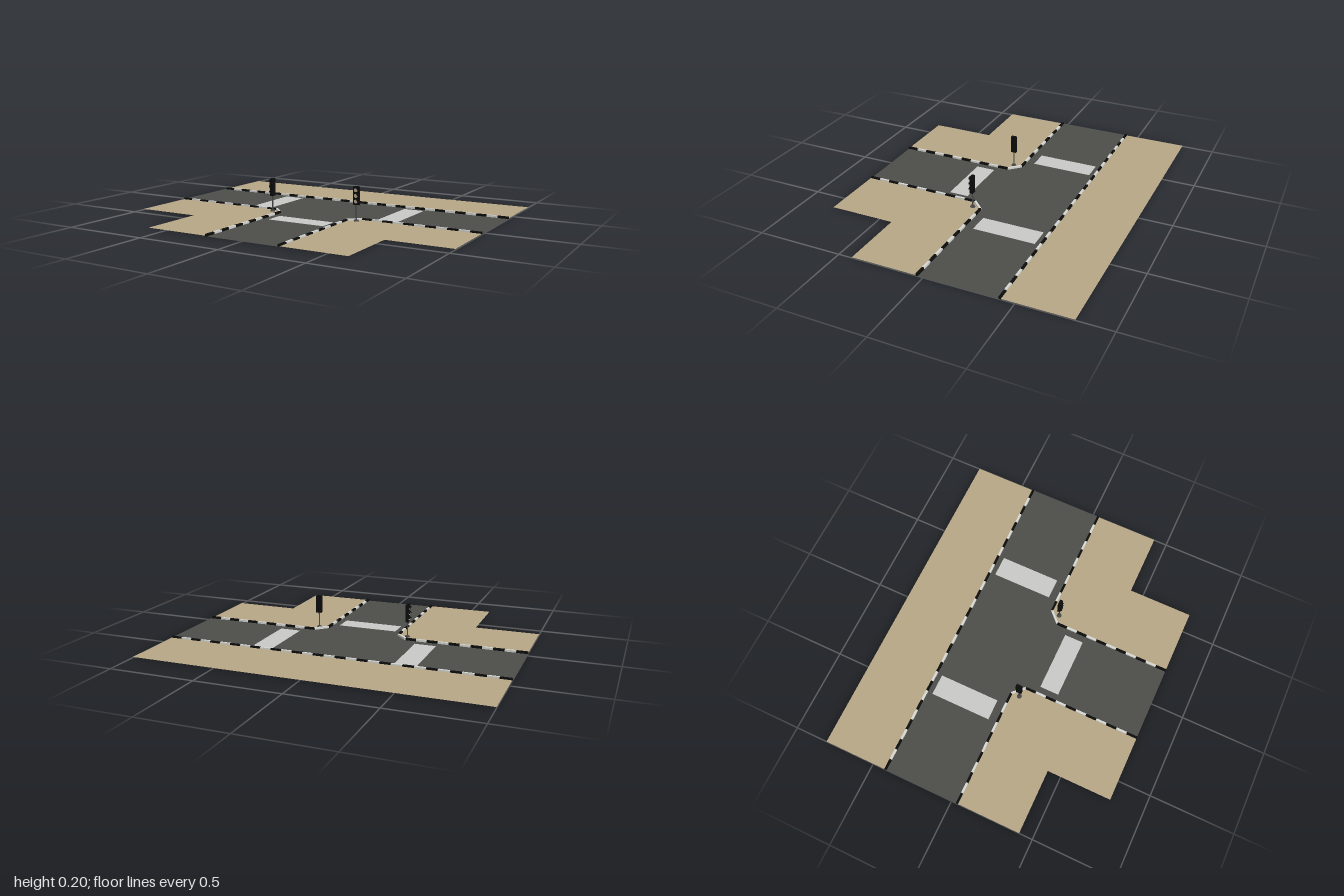
import * as THREE from 'three';

const mat = (name, color, side = THREE.FrontSide) => {
  const m = new THREE.MeshStandardMaterial({ color, side });
  m.name = name;
  return m;
};

export function createModel() {
  const root = new THREE.Group();
  const asphalt = mat('asphalt', 0x4d4d49, THREE.DoubleSide);
  const sand = mat('sand', 0xb8a786, THREE.DoubleSide);
  const paint = mat('crossing paint', 0xcacac8);
  const black = mat('black', 0x0b0c0b, THREE.DoubleSide);
  const white = mat('kerb white', 0xd8d8d4);
  const steel = mat('pole grey', 0x4a4a4a);
  const lens = mat('lens', 0xb5a58c);

  const add = (parent, name, geo, material, x = 0, y = 0, z = 0) => {
    const m = new THREE.Mesh(geo, material);
    m.name = name;
    m.position.set(x, y, z);
    parent.add(m);
    return m;
  };

  // Flat ground sheet from [x, z] corners
  const sheet = (name, pts, material, y) => {
    const shape = new THREE.Shape(pts.map(([x, z]) => new THREE.Vector2(x, -z)));
    add(root, name, new THREE.ShapeGeometry(shape).rotateX(-Math.PI / 2), material, 0, y, 0);
  };

  const backZ = -0.42, frontZ = 0.035, stemX = 0.225, cutX = 0.29, cutZ = 0.1, end = 0.805;

  // T-shaped road
  sheet('road', [
    [-1, backZ], [1, backZ], [1, frontZ], [cutX, frontZ], [stemX, cutZ], [stemX, end],
    [-stemX, end], [-stemX, cutZ], [-cutX, frontZ], [-1, frontZ],
  ], asphalt, 0.001);

  // Pavements
  sheet('backPavement', [[-1, -end], [1, -end], [1, backZ], [-1, backZ]], sand, 0.004);
  for (const s of [-1, 1]) {
    sheet(s < 0 ? 'rightPavement' : 'leftPavement', [
      [cutX, frontZ], [1, frontZ], [1, 0.42], [0.617, 0.42], [0.617, end],
      [stemX, end], [stemX, cutZ],
    ].map(([x, z]) => [x * s, z]), sand, 0.004);
  }

  // Crossings, visible on both faces of the road sheet
  const crossing = (x, z, w, d) =>
    add(root, 'crossing', new THREE.BoxGeometry(w, 0.002, d), paint, x, 0.001, z);
  crossing(-0.425, -0.202, 0.125, 0.365);
  crossing(0.425, -0.202, 0.125, 0.365);
  crossing(0, 0.23, 0.36, 0.115);

  // Kerb run of alternating black and white blocks
  const kerb = (x0, z0, x1, z1, n, first = black) => {
    const g = new THREE.Group();
    g.name = 'kerb';
    root.add(g);
    const len = Math.hypot(x1 - x0, z1 - z0) / n;
    for (let i = 0; i < n; i++) {
      const t = (i + 0.5) / n;
      const isFirst = i % 2 === 0;
      const b = add(g, isFirst ? 'kerbBlockA' : 'kerbBlockB',
        new THREE.BoxGeometry(len, 0.012, 0.013), isFirst ? first : white,
        x0 + (x1 - x0) * t, 0.007, z0 + (z1 - z0) * t);
      b.rotation.y = -Math.atan2(z1 - z0, x1 - x0);
    }
  };
  kerb(-1, backZ, 1, backZ, 31);
  for (const s of [-1, 1]) {
    kerb(s, frontZ, s * cutX, frontZ, 11);
    kerb(s * cutX, frontZ, s * stemX, cutZ, 1, white);
    kerb(s * stemX, cutZ, s * stemX, end, 11);
  }

  // Traffic light, built facing +z
  const trafficLight = (name, x, z, turn) => {
    const g = new THREE.Group();
    g.name = name;
    g.position.set(x, 0, z);
    g.rotation.y = turn;
    root.add(g);
    add(g, 'base', new THREE.CylinderGeometry(0.013, 0.015, 0.008, 12), steel, 0, 0.008, 0);
    add(g, 'pole', new THREE.CylinderGeometry(0.004, 0.004, 0.1, 8), steel, 0, 0.052, 0);
    add(g, 'housing', new THREE.BoxGeometry(0.034, 0.105, 0.018), black, 0, 0.1505, 0);
    for (const y of [0.118, 0.15, 0.182]) {
      add(g, 'lens', new THREE.CylinderGeometry(0.011, 0.011, 0.002, 16).rotateX(Math.PI / 2),
        lens, 0, y, 0.01);
      // Hood over the upper half of the lens
      add(g, 'hood', new THREE.CylinderGeometry(0.0125, 0.0125, 0.009, 12, 1, true,
        Math.PI / 2, Math.PI).rotateX(Math.PI / 2), black, 0, y, 0.0135);
    }
  };
  trafficLight('rightTrafficLight', -0.285, 0.085, -Math.PI / 2);
  trafficLight('leftTrafficLight', 0.28, 0.087, 0);

  return root;
}
